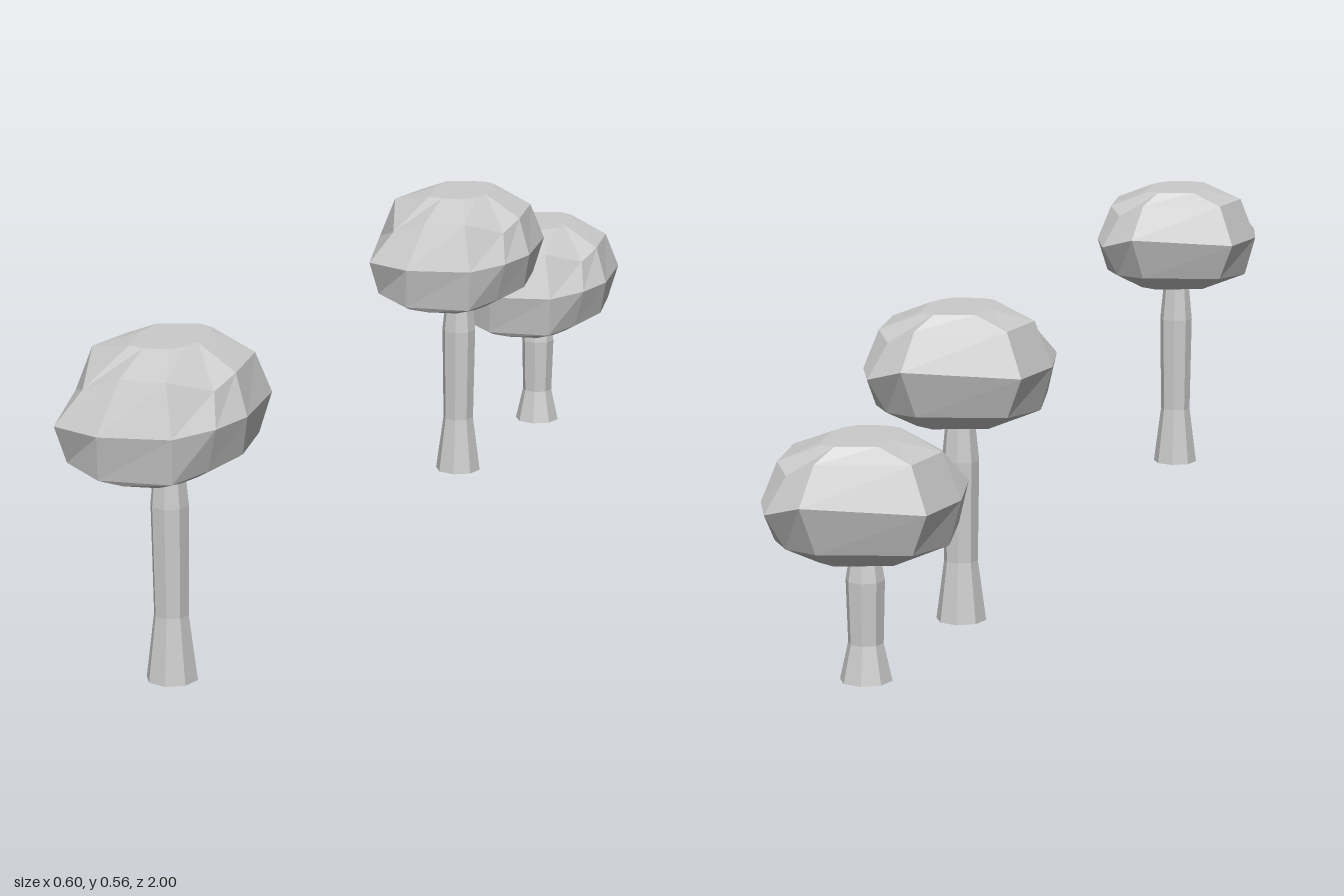
import * as THREE from 'three';

const material = new THREE.MeshStandardMaterial({ color: 0xcccccc, flatShading: true, roughness: 0.9 });

// Canopy outline, counterclockwise from the front: [x, y, z] on three rings
const MID = [
  [-0.065, 0.083, 0.176], [0.055, 0.085, 0.172], [0.113, 0.093, 0.127], [0.148, 0.1, 0.069], [0.148, 0.1, -0.085],
  [0.132, 0.09, -0.132], [0.069, 0.11, -0.164], [-0.127, 0.1, -0.138], [-0.161, 0.1, -0.026], [-0.14, 0.09, 0.155],
];
const UPPER = [
  [-0.035, 0.17, 0.15], [0.04, 0.17, 0.15], [0.105, 0.148, 0.105], [0.125, 0.165, 0.05], [0.122, 0.165, -0.08],
  [0.1, 0.15, -0.115], [0.05, 0.175, -0.14], [-0.1, 0.175, -0.12], [-0.13, 0.176, -0.02], [-0.1, 0.145, 0.13],
];
const LOWER = [
  [-0.07, 0.008, 0.158], [0.05, 0.008, 0.158], [0.095, 0.02, 0.11], [0.135, 0.033, 0.05], [0.13, 0.035, -0.07],
  [0.105, 0.03, -0.105], [0.05, 0.03, -0.135], [-0.1, 0.03, -0.115], [-0.14, 0.025, -0.02], [-0.128, 0.025, 0.13],
];

// Lopsided faceted crown: rings lofted from the flat underside to the flat top
function canopyGeometry() {
  const bottom = MID.map(([x, , z]) => [x * 0.47, 0, z * 0.7 + 0.03]);
  const top = MID.map(([x, , z]) => [x * 0.35, 0.198, z * 0.5 - 0.03]);
  const rings = [bottom, LOWER, MID, UPPER, top];
  const n = MID.length;
  const points = [...rings.flat(), [0, 0, 0.03], [0, 0.198, -0.03]];
  const bottomCentre = n * rings.length;
  const topRow = n * (rings.length - 1);
  const index = [];
  for (let i = 0; i < n; i++) {
    const j = (i + 1) % n;
    for (let r = 0; r < rings.length - 1; r++) {
      const a = r * n + i, b = r * n + j;
      index.push(a, b, b + n, a, b + n, a + n);
    }
    index.push(bottomCentre, j, i, bottomCentre + 1, topRow + i, topRow + j);
  }
  const geometry = new THREE.BufferGeometry();
  geometry.setAttribute('position', new THREE.Float32BufferAttribute(points.flat(), 3));
  geometry.setIndex(index);
  geometry.computeVertexNormals();
  return geometry;
}

// Eight-sided trunk with a flared foot and a slight swelling under the crown
function trunkGeometry(height) {
  const profile = [[0, 0], [0.043, 0], [0.029, 0.3], [0.032, 0.8], [0.025, 1], [0.022, 1.08], [0, 1.08]];
  return new THREE.LatheGeometry(profile.map(([r, t]) => new THREE.Vector2(r, t * height)), 8);
}

export function createModel() {
  const model = new THREE.Group();
  model.name = 'trees';
  const crown = canopyGeometry();

  // [name, x, z, height of the crown's underside]
  const trees = [
    ['tallTree', -0.141, 0.823, 0.367],
    ['mediumTree', 0.069, -0.448, 0.347],
    ['shortTree', 0.153, -0.836, 0.207],
  ];
  for (const [name, x, z, height] of trees) {
    const tree = new THREE.Group();
    tree.name = name;
    tree.position.set(x, 0, z);
    const trunk = new THREE.Mesh(trunkGeometry(height), material);
    trunk.name = 'trunk';
    const canopy = new THREE.Mesh(crown, material);
    canopy.name = 'canopy';
    canopy.position.y = height;
    tree.add(trunk, canopy);
    model.add(tree);
  }
  return model;
}
